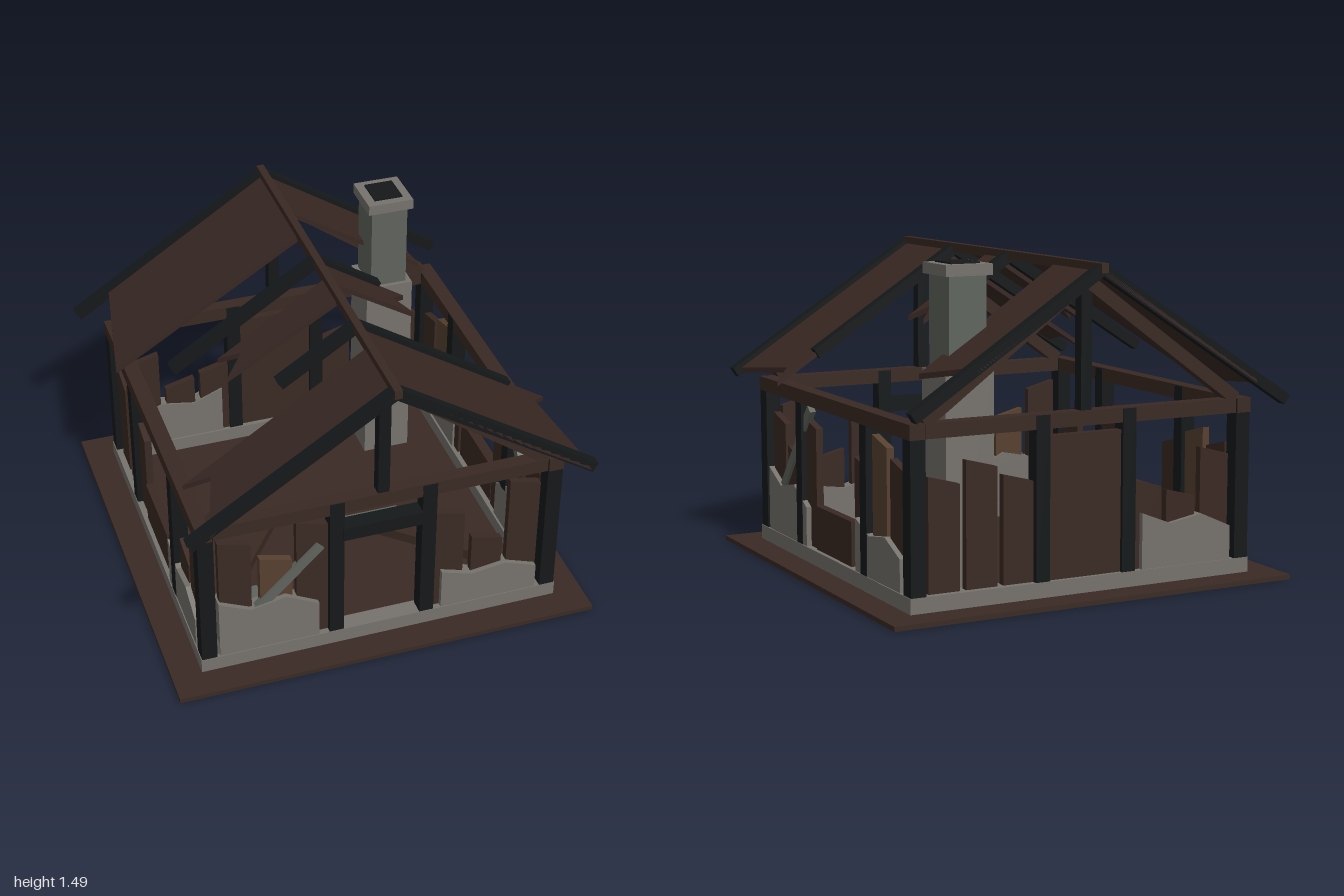
import * as THREE from 'three';

const mat = (color) => new THREE.MeshStandardMaterial({ color, flatShading: true });
const earth = mat(0x3a2a24), wood = mat(0x3a2923), roofWood = mat(0x382722), paleWood = mat(0x57402f);
const charred = mat(0x15181a), stone = mat(0x76726c), darkStone = mat(0x60645d);

const SLOPE = 0.645;

function add(parent, name, geometry, material) {
  const mesh = new THREE.Mesh(geometry, material);
  mesh.name = name;
  parent.add(mesh);
  return mesh;
}

// Box given by its extents on each axis
function box(parent, name, material, x0, x1, y0, y1, z0, z1) {
  const mesh = add(parent, name, new THREE.BoxGeometry(x1 - x0, y1 - y0, z1 - z0), material);
  mesh.position.set((x0 + x1) / 2, (y0 + y1) / 2, (z0 + z1) / 2);
  return mesh;
}

// Straight timber between two points
function bar(parent, name, material, a, b, w, h) {
  const p = new THREE.Vector3(...a), q = new THREE.Vector3(...b);
  const mesh = add(parent, name, new THREE.BoxGeometry(w, h, p.distanceTo(q)), material);
  mesh.position.copy(p).add(q).multiplyScalar(0.5);
  mesh.quaternion.setFromUnitVectors(new THREE.Vector3(0, 0, 1), q.clone().sub(p).normalize());
  // keep the timber upright: rebuild the rotation with +y as up
  mesh.quaternion.setFromRotationMatrix(new THREE.Matrix4().lookAt(q, p, new THREE.Vector3(0, 1, 0)));
  return mesh;
}

// Upright slab cut from an outline, with its back at z
function slab(parent, name, material, points, z, depth) {
  const shape = new THREE.Shape(points.map(([x, y]) => new THREE.Vector2(x, y)));
  const mesh = add(parent, name, new THREE.ExtrudeGeometry(shape, { depth, bevelEnabled: false }), material);
  mesh.position.z = z;
  return mesh;
}

// One ruined wall, built facing +z and turned into place
function wall({ name, turn, posts, planks, rubble, brace, low }) {
  const g = new THREE.Group();
  g.name = name;
  g.rotation.y = turn;
  for (const u of [-posts, posts]) box(g, 'wallPost', charred, u - 0.034, u + 0.034, 0.09, 0.83, 0.785, 0.857);
  for (const [u, top, pale] of planks) {
    slab(g, 'brokenPlank', pale ? paleWood : wood,
      [[u - 0.075, 0.09], [u + 0.075, 0.09], [u + 0.075, top - 0.04], [u - 0.075, top]], 0.795, 0.035);
  }
  for (const [u, h] of rubble) {
    slab(g, 'brokenMasonry', stone, [[u, 0.09], [u + 0.47, 0.09], [u + 0.47, 0.09 + h * 0.61],
      [u + 0.315, 0.09 + h * 0.88], [u + 0.15, 0.09 + h * 0.77], [u, 0.09 + h]], 0.785, 0.07);
  }
  if (brace) bar(g, 'fallenBrace', darkStone, [-0.79, 0.11, 0.83], [...brace, 0.83], 0.03, 0.045);
  if (low) box(g, 'lowPanel', wood, -0.2, 0.2, 0.09, 0.3, 0.8, 0.84);
  return g;
}

// Torn roof sheet: plan outline (x, z) draped over the pitch
function roofSheet(parent, points) {
  const shape = new THREE.Shape(points.map(([x, z]) => new THREE.Vector2(x, -z)));
  const geo = new THREE.ExtrudeGeometry(shape, { depth: 0.025, bevelEnabled: false }).rotateX(-Math.PI / 2);
  const p = geo.attributes.position;
  for (let i = 0; i < p.count; i++) p.setY(i, p.getY(i) + 1.44 - SLOPE * Math.abs(p.getX(i)));
  geo.computeVertexNormals();
  add(parent, 'roofSheet', geo, roofWood);
}

export function createModel() {
  const model = new THREE.Group();
  model.name = 'ruinedHouse';

  // Ground and foundation curb
  box(model, 'ground', earth, -1, 1, 0, 0.022, -1, 1);
  const ring = new THREE.Shape([[-1, -1], [1, -1], [1, 1], [-1, 1]].map(([x, y]) => new THREE.Vector2(x * 0.86, y * 0.86)));
  ring.holes.push(new THREE.Path([[-1, -1], [-1, 1], [1, 1], [1, -1]].map(([x, y]) => new THREE.Vector2(x * 0.775, y * 0.775))));
  add(model, 'foundation', new THREE.ExtrudeGeometry(ring, { depth: 0.072, bevelEnabled: false }).rotateX(-Math.PI / 2), stone)
    .position.y = 0.02;

  // Walls
  const walls = [
    { name: 'frontWall', turn: 0, posts: 0.218, brace: [-0.29, 0.6],
      planks: [[-0.685, 0.72], [-0.495, 0.585, 1], [-0.325, 0.745], [0.325, 0.64], [0.515, 0.45], [0.69, 0.73]],
      rubble: [[-0.77, 0.305], [0.29, 0.21]] },
    { name: 'leftWall', turn: Math.PI / 2, posts: 0.37, low: true, brace: [-0.27, 0.75],
      planks: [[-0.675, 0.67], [-0.495, 0.53], [-0.295, 0.7], [0.295, 0.6], [0.49, 0.73, 1], [0.675, 0.65]],
      rubble: [[-0.76, 0.31], [0.275, 0.245]] },
    { name: 'backWall', turn: Math.PI, posts: 0.218,
      planks: [[-0.685, 0.6], [-0.505, 0.66], [-0.325, 0.58], [0.325, 0.5], [0.505, 0.44], [0.685, 0.62]],
      rubble: [[0.29, 0.26]] },
    { name: 'rightWall', turn: -Math.PI / 2, posts: 0.37, low: true,
      planks: [[-0.675, 0.62], [-0.495, 0.66, 1], [-0.295, 0.58], [0.295, 0.6], [0.495, 0.45], [0.675, 0.6]],
      rubble: [[0.28, 0.25]] },
  ];
  for (const w of walls) model.add(wall(w));
  box(model, 'doorLintel', charred, -0.19, 0.19, 0.62, 0.688, 0.785, 0.865);
  box(model, 'backPanel', wood, -0.19, 0.19, 0.09, 0.735, -0.84, -0.8);

  // Corner posts, wall plates and gable trusses
  for (const s of [-1, 1]) {
    for (const t of [-1, 1]) {
      box(model, 'cornerPost', charred, s * 0.82 - 0.036, s * 0.82 + 0.036, 0.09, 0.832, t * 0.82 - 0.038, t * 0.82 + 0.038);
      bar(model, 'trussRafter', wood, [0, 1.405, t * 0.82], [s * 0.785, 0.835, t * 0.82], 0.06, 0.06);
    }
    box(model, 'sidePlate', wood, s * 0.823 - 0.036, s * 0.823 + 0.036, 0.768, 0.835, -0.86, 0.86);
    box(model, 'endPlate', wood, -0.82, 0.82, 0.768, 0.835, s * 0.82 - 0.033, s * 0.82 + 0.033);
    box(model, 'kingPost', charred, -0.027, 0.027, 0.83, 1.42, s * 0.82 - 0.027, s * 0.82 + 0.027);
  }

  // Ridge and charred rafters, several snapped short: z, reach to -x, reach to +x
  box(model, 'ridgeBeam', wood, -0.018, 0.018, 1.445, 1.487, -1, 1);
  for (const [z, minus, plus] of [[-0.965, 0.97, 0.9], [-0.12, 0.7, 0.3], [0.445, 0.355, 0.735], [0.965, 0.92, 0.95]]) {
    for (const x of [-minus, plus]) {
      bar(model, 'rafter', charred, [0, 1.46, z], [x, 1.46 - SLOPE * Math.abs(x), z], 0.05, 0.05);
    }
  }

  // Torn roof sheets
  const sheets = [
    [[0, 0.44], [0.93, 0.44], [0.85, 0.52], [0.93, 0.99], [0, 0.99]],
    [[0, -0.11], [0.43, -0.11], [0.35, -0.03], [0.43, 0.05], [0, 0.08]],
    [[0, -0.99], [0.6, -0.99], [0.7, -0.62], [0, -0.58]],
    [[0, 0.62], [-0.85, 0.625], [-0.74, 0.69], [-0.83, 0.99], [0, 0.99]],
    [[0, 0.04], [-0.52, 0.04], [-0.43, 0.11], [-0.52, 0.2], [0, 0.23]],
    [[0, -0.345], [-0.91, -0.375], [-0.8, -0.99], [0, -0.99]],
  ];
  for (const s of sheets) roofSheet(model, s);

  // Chimney
  const chimney = new THREE.Group();
  chimney.name = 'chimney';
  chimney.position.set(0.493, 0, -0.58);
  model.add(chimney);
  box(chimney, 'chimneyBase', stone, -0.117, 0.117, 0.02, 1.015, -0.117, 0.117);
  box(chimney, 'chimneyStack', darkStone, -0.09, 0.09, 1.015, 1.435, -0.097, 0.097);
  box(chimney, 'chimneyCap', stone, -0.112, 0.112, 1.43, 1.48, -0.117, 0.117);
  box(chimney, 'flue', charred, -0.07, 0.07, 1.44, 1.487, -0.077, 0.077);

  // Debris on the floor
  for (const [x, z, w, d] of [[-0.6, 0.495, 0.27, 0.185], [0.23, 0.1, 0.27, 0.11], [-0.27, -0.36, 0.27, 0.1]]) {
    box(model, 'fallenStone', darkStone, x - w / 2, x + w / 2, 0.02, 0.055, z - d / 2, z + d / 2);
  }
  bar(model, 'fallenBeam', wood, [-0.64, 0.085, 0.5], [-0.26, 0.11, 0], 0.05, 0.05);
  bar(model, 'fallenBeam', wood, [0.13, 0.085, 0.14], [0.6, 0.08, 0.55], 0.05, 0.05);
  return model;
}
